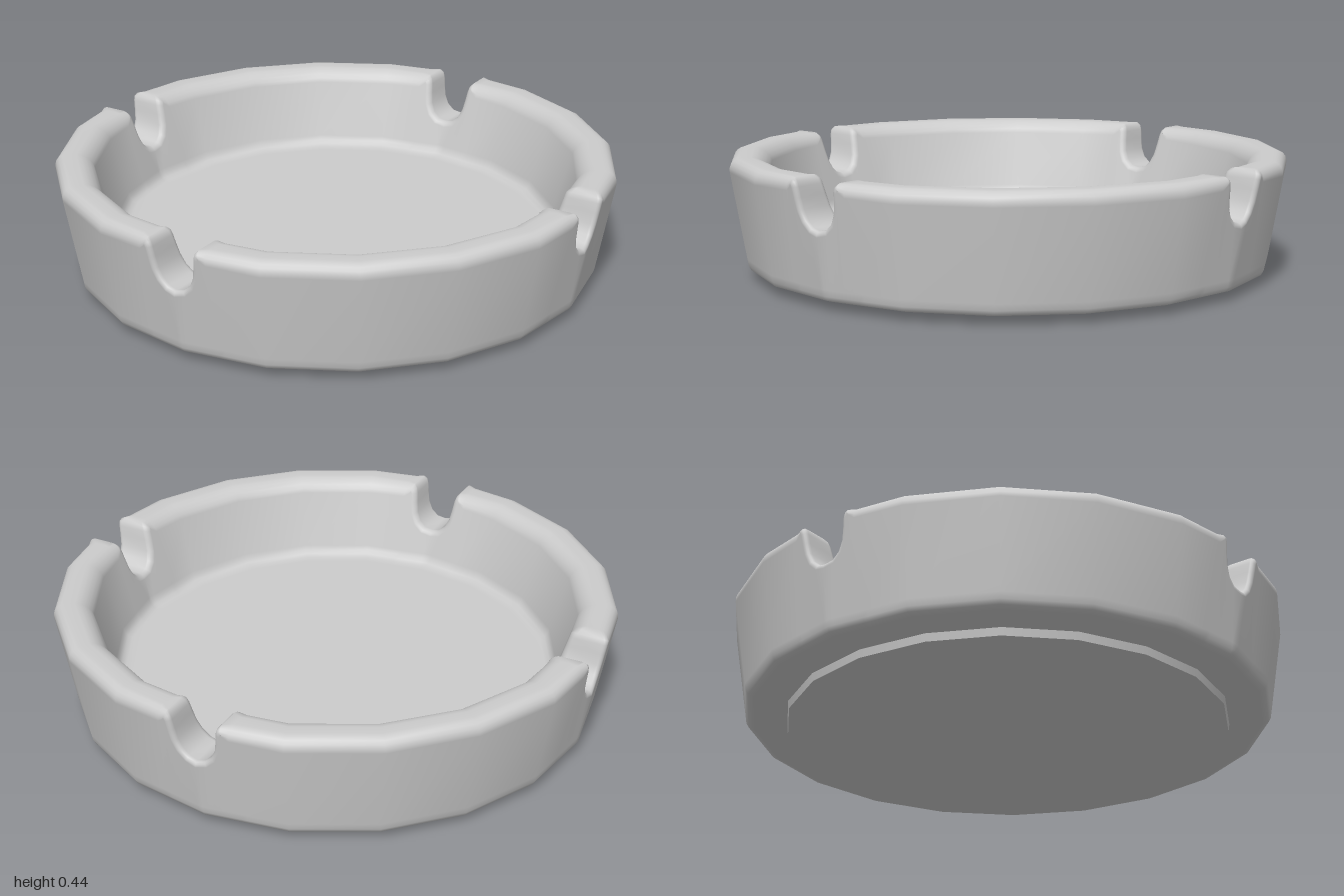
import * as THREE from 'three';

const RIM = 0.44, FLOOR = 0.14;
const TAN9 = Math.tan(Math.PI / 20); // slope of one side of the 20-sided ring

// Sloped walls: corner radius of the ring at height y
const outerR = y => 0.956 + (y - 0.05) * 0.17;
const innerR = y => 0.812 + (y - 0.18) * 0.29;

// Half of the notch edge seen face-on: x, y, size of the rounding
const HALF = [
  [0, 0.272, 0.02], [0.03, 0.279, 0.02], [0.055, 0.302, 0.02], [0.07, 0.335, 0.02],
  [0.077, 0.375, 0.02], [0.082, 0.41, 0.02], [0.088, 0.428, 0.022], [0.1, RIM, 0.03], [0.13, RIM, 0.045],
];

// Columns of one quarter, centred on its notch
function quarterColumns() {
  const n = HALF.length - 1;
  const columns = [];
  for (let i = -n; i <= n; i++) {
    const at = j => {
      const [x, y] = HALF[Math.min(Math.abs(j), n)];
      return [Math.sign(j) * x, y];
    };
    const [x, y] = at(i), a = at(i - 1), b = at(i + 1);
    let tx = b[0] - a[0], ty = b[1] - a[1];
    if (Math.abs(i) === n) { tx = 1; ty = 0; }
    const len = Math.hypot(tx, ty);
    columns.push({ x, y, f: HALF[Math.abs(i)][2], nx: ty / len, ny: -tx / len, k: 0.16 * i / n });
  }
  const corner = deg => {
    const a = THREE.MathUtils.degToRad(deg);
    return { y: RIM, f: 0.05, nx: 0, ny: -1, k: Math.sin(a), kz: Math.cos(a) };
  };
  return [corner(-36), corner(-18), ...columns, corner(18), corner(36)];
}

// Point on the ring of corner radius r; k is the sideways fraction of r
function ringPoint(col, r, y, x) {
  if (col.kz !== undefined) return [col.k * r, y, col.kz * r];
  const px = x === undefined ? col.k * r : x;
  return [px, y, r - Math.abs(px) * TAN9];
}

// One section through the bowl: underside, outer wall, rounded rim, inner wall, floor
function section(col) {
  const points = [[0.7, 0.028], [0.9, 0.028], [0.925, 0.029], [0.947, 0.036], [0.956, 0.052], [0.96, 0.075]]
    .map(([r, y]) => ringPoint(col, r, y));
  const steps = 5;
  const rimPoint = (phi, wall, sign) => {
    const d = col.f * (1 - Math.sin(phi)), inset = col.f * (1 - Math.cos(phi));
    const y = col.y + col.ny * d;
    const x = col.x === undefined ? undefined : col.x + col.nx * d;
    points.push(ringPoint(col, wall(y) + sign * inset, y, x));
  };
  for (let i = 0; i <= steps; i++) rimPoint(i / steps * Math.PI / 2, outerR, -1);
  for (let i = steps; i >= 0; i--) rimPoint(i / steps * Math.PI / 2, innerR, 1);
  for (const [r, y] of [[0.812, 0.18], [0.806, 0.163], [0.795, 0.149], [0.778, FLOOR + 0.002], [0.75, FLOOR], [0.6, FLOOR], [0, FLOOR]])
    points.push(ringPoint(col, r, y));
  return points;
}

function bowlGeometry() {
  const sections = [];
  const quarter = quarterColumns().map(section);
  for (let q = 0; q < 4; q++) {
    const c = Math.round(Math.cos(q * Math.PI / 2)), s = Math.round(Math.sin(q * Math.PI / 2));
    for (const pts of quarter) sections.push(pts.map(([x, y, z]) => [x * c + z * s, y, z * c - x * s]));
  }
  const rows = sections[0].length, index = [];
  for (let i = 0; i < sections.length; i++) {
    const a = i * rows, b = ((i + 1) % sections.length) * rows;
    for (let j = 0; j < rows - 1; j++) {
      index.push(a + j, b + j, b + j + 1, a + j, b + j + 1, a + j + 1);
    }
  }
  const geometry = new THREE.BufferGeometry();
  geometry.setAttribute('position', new THREE.Float32BufferAttribute(sections.flat(2), 3));
  geometry.setIndex(index);
  geometry.computeVertexNormals();
  return geometry;
}

export function createModel() {
  const group = new THREE.Group();
  group.name = 'ashtray';
  const material = new THREE.MeshStandardMaterial({ color: 0xcccccc });

  // Bowl with four rounded notches in its rim
  const bowl = new THREE.Mesh(bowlGeometry(), material);
  bowl.name = 'bowl';
  group.add(bowl);

  // Low foot under the bowl
  const foot = new THREE.Mesh(new THREE.CylinderGeometry(0.805, 0.8, 0.03, 20), material);
  foot.name = 'foot';
  foot.position.y = 0.015;
  group.add(foot);

  return group;
}
